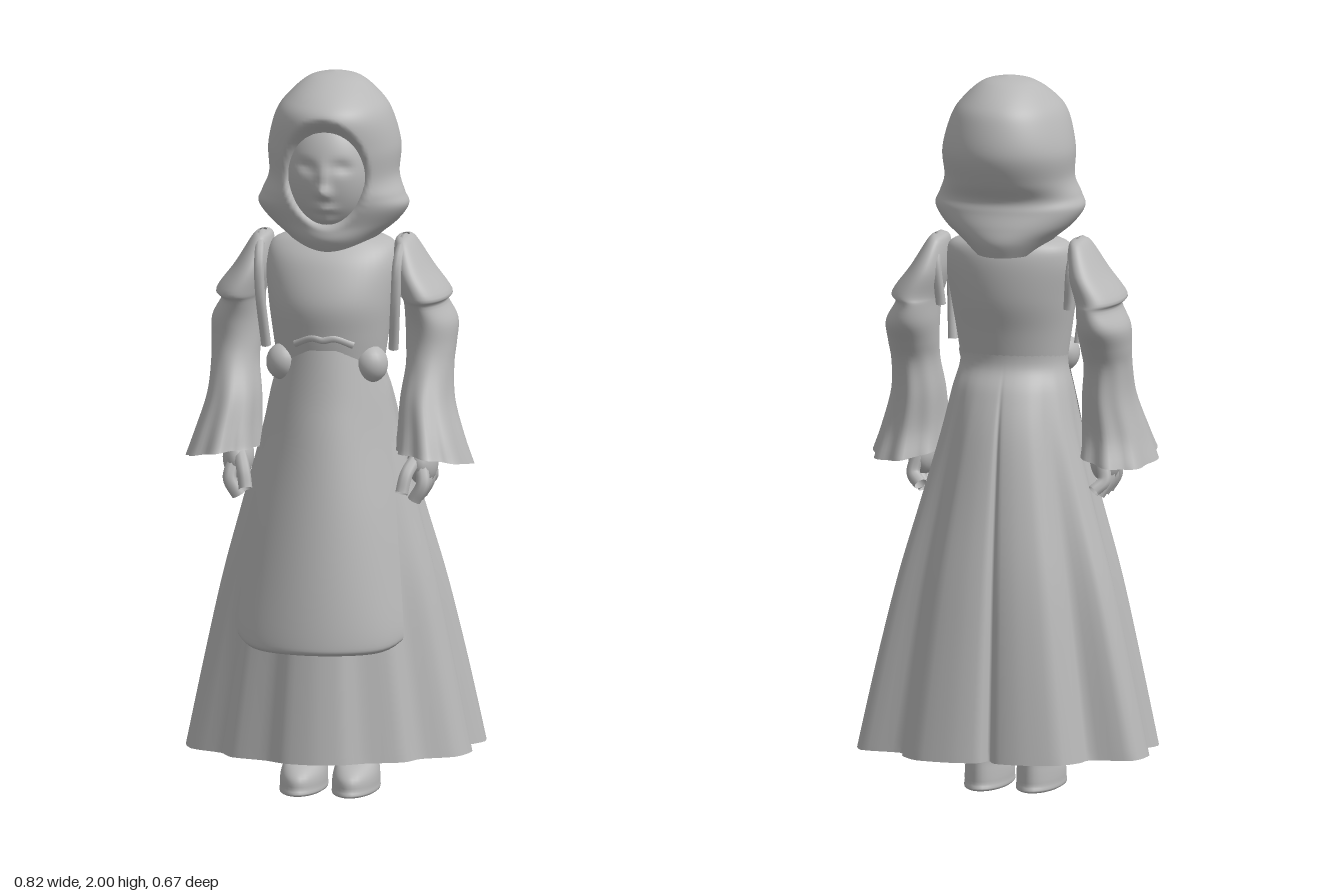
import * as THREE from 'three';

const cloth = new THREE.MeshStandardMaterial({ color: 0xb8b8b8, side: THREE.DoubleSide });
cloth.name = 'plain grey';

function add(parent, name, geometry) {
  const mesh = new THREE.Mesh(geometry, cloth);
  mesh.name = name;
  parent.add(mesh);
  return mesh;
}

// Smooth in-between row of a table, t from 0 to 1
function sample(rows, t) {
  const f = Math.min(t * (rows.length - 1), rows.length - 1.0001);
  const i = Math.floor(f), u = f - i;
  const at = k => rows[Math.max(0, Math.min(rows.length - 1, k))];
  return rows[0].map((_, c) => {
    const p = at(i - 1)[c], a = at(i)[c], b = at(i + 1)[c], q = at(i + 2)[c];
    return a + 0.5 * u * (b - p + u * (2 * p - 5 * a + 4 * b - q + u * (3 * (a - b) + q - p)));
  });
}

// Surface through a grid of points; point(v, u) returns [x, y, z]
function surface(nv, nu, closed, point) {
  const pos = [], index = [], cols = closed ? nu : nu + 1;
  for (let i = 0; i <= nv; i++)
    for (let j = 0; j < cols; j++) pos.push(...point(i / nv, j / nu));
  for (let i = 0; i < nv; i++)
    for (let j = 0; j < nu; j++) {
      const k = (j + 1) % cols;
      const a = i * cols + j, b = i * cols + k, c = a + cols, d = b + cols;
      index.push(a, b, c, b, d, c);
    }
  const g = new THREE.BufferGeometry();
  g.setAttribute('position', new THREE.Float32BufferAttribute(pos, 3));
  g.setIndex(index);
  g.computeVertexNormals();
  return g;
}

// Stacked ovals, top to bottom. Rows: [y, half width, front z, back z, centre x]
function loft(rows, nv, nu, rule = p => p) {
  return surface(nv, nu, true, (v, u) => {
    const [y, rx, zf, zb, cx = 0] = sample(rows, v), a = u * Math.PI * 2;
    return rule([cx + rx * Math.cos(a), y, (zf + zb) / 2 + (zf - zb) / 2 * Math.sin(a)], a, v);
  });
}

function tube(points, r) {
  return new THREE.TubeGeometry(new THREE.CatmullRomCurve3(points.map(p => new THREE.Vector3(...p))), 24, r, 8);
}

function makeHead(group) {
  // Hood, gently hollowed round the face
  const rows = [
    [2.0, 0.0005, -0.049, -0.05], [1.985, 0.07, 0.03, -0.125], [1.94, 0.125, 0.125, -0.195],
    [1.89, 0.16, 0.168, -0.23], [1.8, 0.183, 0.16, -0.248], [1.72, 0.18, 0.145, -0.218],
    [1.67, 0.198, 0.135, -0.18], [1.635, 0.209, 0.125, -0.182], [1.59, 0.178, 0.115, -0.195],
    [1.55, 0.13, 0.115, -0.2], [1.51, 0.09, 0.09, -0.185]];
  add(group, 'hood', loft(rows, 72, 96, ([x, y, z]) => {
    const r = Math.hypot(x / 0.108, (y - 1.74) / 0.142);
    return [x, y, z > 0 ? z - 0.06 * (1 - THREE.MathUtils.smoothstep(r, 0.72, 1.15)) : z];
  }));

  // Face with nose, eye hollows, lips and chin
  const face = new THREE.SphereGeometry(1, 64, 48);
  face.scale(0.125, 0.17, 0.123);
  face.translate(0, 1.735, 0.03);
  const p = face.attributes.position;
  const bump = (x, y, cx, cy, sx, sy) => Math.exp(-(((x - cx) / sx) ** 2) - ((y - cy) / sy) ** 2);
  for (let i = 0; i < p.count; i++) {
    const x = p.getX(i), y = p.getY(i), z = p.getZ(i);
    if (z < 0.04) continue;
    p.setZ(i, z + 0.03 * bump(x, y, 0, 1.692, 0.018, 0.018) + 0.012 * bump(x, y, 0, 1.73, 0.014, 0.035)
      + 0.015 * bump(x, y, 0, 1.645, 0.03, 0.012) + 0.012 * bump(x, y, 0, 1.61, 0.03, 0.015)
      - 0.012 * bump(Math.abs(x), y, 0.05, 1.762, 0.026, 0.016));
  }
  face.computeVertexNormals();
  add(group, 'face', face);
}

function makeDress(group) {
  add(group, 'bodice', loft([
    [1.56, 0.06, 0.04, -0.1], [1.535, 0.16, 0.075, -0.135], [1.48, 0.185, 0.125, -0.15],
    [1.38, 0.175, 0.165, -0.145], [1.29, 0.162, 0.16, -0.122], [1.21, 0.15, 0.148, -0.106]], 30, 48));

  // Pleated hem outline for one half, from front to back
  const half = [[0, 0.335], [0.08, 0.322], [0.14, 0.285], [0.24, 0.25], [0.28, 0.19], [0.37, 0.14],
    [0.4, 0.05], [0.365, -0.02], [0.41, -0.1], [0.385, -0.195], [0.27, -0.215], [0.25, -0.265],
    [0.2, -0.32], [0.1, -0.338], [0.025, -0.328], [0, -0.29]];
  const mirrored = half.slice(1, -1).reverse().map(([x, z]) => [-x, z]);
  const hem = new THREE.CatmullRomCurve3([...half, ...mirrored].map(([x, z]) => new THREE.Vector3(x, 0, z)), true, 'catmullrom', 0.4);
  const outline = hem.getPoints(120).slice(0, 120).reverse();
  const rows = [[1.26, 0.155, 0.152, -0.113], [1.19, 0.15, 0.148, -0.11], [1.12, 0.168, 0.165, -0.15], [1.0, 0.195, 0.195, -0.195],
    [0.8, 0.25, 0.235, -0.24], [0.6, 0.305, 0.272, -0.278], [0.38, 0.355, 0.302, -0.308], [0.12, 0.41, 0.335, -0.338]];
  add(group, 'skirt', surface(42, 120, true, (v, u) => {
    const [y, rx, zf, zb] = sample(rows, v);
    const q = outline[Math.round(u * 120) % 120];
    const ux = q.x / 0.41, uz = q.z / 0.337, k = Math.hypot(ux, uz);
    const fold = THREE.MathUtils.smoothstep(v, 0.1, 1), s = THREE.MathUtils.lerp(1 / k, 1, fold);
    return [ux * s * rx, y, (zf + zb) / 2 + uz * s * (zf - zb) / 2];
  }));

  // Apron curving round the front. Rows: [y, half width, front z, edge drop]
  const apron = [[1.25, 0.13, 0.157, 0.08], [1.12, 0.16, 0.183, 0.1], [1.0, 0.182, 0.212, 0.12], [0.8, 0.2, 0.255, 0.105],
    [0.6, 0.22, 0.293, 0.1], [0.46, 0.232, 0.314, 0.095], [0.425, 0.226, 0.311, 0.095], [0.42, 0.21, 0.28, 0.09]];
  add(group, 'apron', surface(40, 30, false, (v, t) => {
    const [y, w, z, drop] = sample(apron, v), u = 1 - 2 * t;
    return [u * w, y + 0.03 * v * u ** 8, z - drop * u * u - 0.025 * u ** 10];
  }));

  // Gathered belt and soft puffs at the waist
  add(group, 'belt', tube([[-0.08, 1.265, 0.132], [-0.03, 1.285, 0.15], [0, 1.28, 0.153], [0.03, 1.285, 0.15], [0.08, 1.265, 0.132]], 0.012));
  for (const s of [-1, 1]) {
    const puff = add(group, 'waistPuff', new THREE.SphereGeometry(1, 20, 14));
    puff.scale.set(0.048, 0.052, 0.05);
    puff.position.set(s * 0.122, 1.205, 0.085);
  }
}

function makeArm(group, s) {
  const arm = new THREE.Group();
  arm.name = s > 0 ? 'leftArm' : 'rightArm';
  group.add(arm);

  // Puffed sleeve ending in a flared, wavy cuff
  const rows = [[1.55, 0.01, -0.02, -0.06, 0.2], [1.535, 0.028, 0.035, -0.11, 0.2], [1.46, 0.052, 0.085, -0.16, 0.223],
    [1.39, 0.068, 0.105, -0.178, 0.258], [1.365, 0.058, 0.09, -0.182, 0.255], [1.31, 0.071, 0.075, -0.18, 0.27],
    [1.25, 0.069, 0.072, -0.14, 0.272], [1.19, 0.066, 0.09, -0.108, 0.272], [1.1, 0.074, 0.135, -0.1, 0.27], [1.0, 0.09, 0.175, -0.1, 0.283],
    [0.93, 0.105, 0.2, -0.125, 0.292]].map(r => [...r.slice(0, 4), r[4] * s]);
  add(arm, 'sleeve', loft(rows, 50, 60, ([x, y, z], a, v) => {
    const flare = Math.max(0, v - 0.65) / 0.35, wave = 1 + 0.06 * flare * Math.cos(a * 8);
    const cx = s * (0.27 + 0.02 * flare), out = s * x - 0.29;
    return [cx + (x - cx) * wave, y + flare * flare * (0.12 * (z - 0.04) - 0.15 * out + 0.012), 0.03 + (z - 0.03) * wave];
  }));

  // Ruffled armhole edge
  add(arm, 'armholeRuffle', tube([[0.178, 1.24, 0.04], [0.19, 1.4, 0.075], [0.194, 1.49, 0.065], [0.2, 1.54, -0.02],
    [0.192, 1.49, -0.11], [0.18, 1.36, -0.1]].map(([x, y, z]) => [s * x, y, z]), 0.014));

  // Hand with four fingers and a thumb
  const wrist = add(arm, 'wrist', new THREE.CylinderGeometry(0.035, 0.035, 0.14, 16));
  wrist.position.set(s * 0.265, 1.0, 0.03);
  const palm = add(arm, 'palm', new THREE.SphereGeometry(1, 20, 14));
  palm.scale.set(0.042, 0.065, 0.08);
  palm.position.set(s * 0.258, 0.925, 0.025);
  for (let i = 0; i < 4; i++) {
    const z = 0.085 - i * 0.042;
    add(arm, 'finger', tube([[s * 0.26, 0.925, z * 0.9], [s * 0.27, 0.875, z * 1.2], [s * 0.245, 0.828 + (i === 3 ? 0.02 : 0), z * 1.35 - 0.015]], 0.019));
  }
  add(arm, 'thumb', tube([[s * 0.25, 0.945, 0.06], [s * 0.228, 0.905, 0.125], [s * 0.218, 0.855, 0.145]], 0.019));
}

function makeLeg(group, s) {
  add(group, s > 0 ? 'leftLeg' : 'rightLeg', loft([
    [0.6, 0.06, 0.05, -0.08], [0.35, 0.055, 0.03, -0.085], [0.16, 0.045, 0.02, -0.08], [0.09, 0.045, 0.02, -0.08]]
    .map(r => [...r, s * 0.075]), 12, 24));
  // Shoe with a ragged ankle edge
  add(group, s > 0 ? 'leftShoe' : 'rightShoe', loft([
    [0.115, 0.052, 0.03, -0.1], [0.095, 0.053, 0.05, -0.103], [0.075, 0.057, 0.13, -0.105], [0.05, 0.062, 0.172, -0.107],
    [0.02, 0.063, 0.18, -0.108], [0, 0.058, 0.175, -0.105], [0, 0.001, 0.03, 0.028]]
    .map(r => [...r, s * 0.073]), 24, 32, ([x, y, z], a, v) =>
    [x, Math.max(0, y) + (v === 0 ? 0.015 * Math.cos(a * 16) : 0), z]));
}

export function createModel() {
  const group = new THREE.Group();
  group.name = 'hoodedGirl';
  makeHead(group);
  makeDress(group);
  for (const s of [-1, 1]) {
    makeArm(group, s);
    makeLeg(group, s);
  }
  return group;
}
